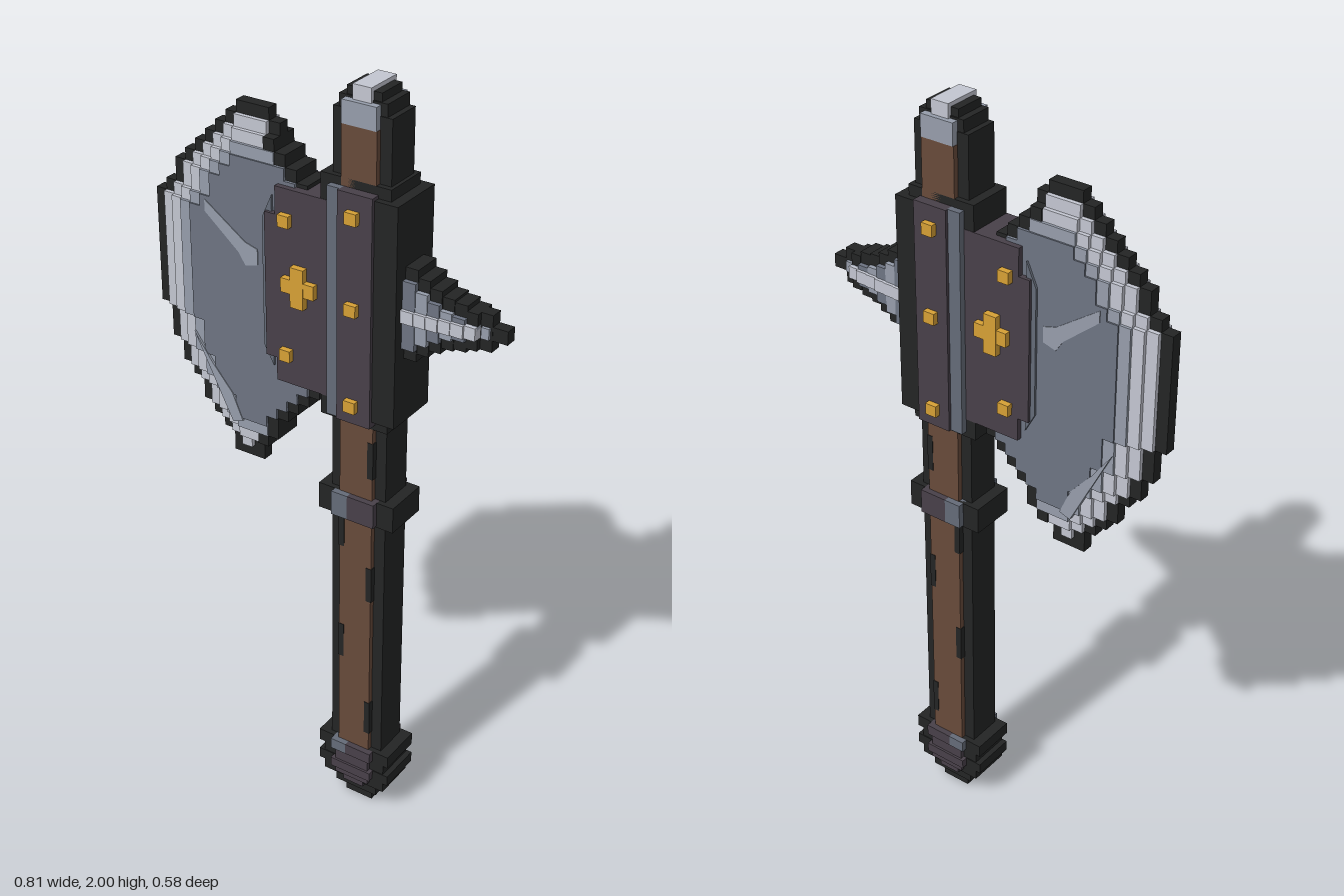
import * as THREE from 'three';

const V = 0.0303; // size of one block step
const mat = (name, color) => {
  const m = new THREE.MeshStandardMaterial({ color });
  m.name = name;
  return m;
};

export function createModel() {
  const black = mat('black outline', 0x232424);
  const brown = mat('brown wood', 0x674a3a);
  const plum = mat('dark plum iron', 0x484049);
  const slate = mat('slate iron', 0x646b78);
  const steel = mat('blade steel', 0x6d7482);
  const light = mat('light steel', 0x969dab);
  const bright = mat('bright steel', 0xc3c6d1);
  const gold = mat('gold', 0xd6a035);

  const model = new THREE.Group();
  const axe = new THREE.Group();
  axe.name = 'axe';
  axe.rotation.y = -THREE.MathUtils.degToRad(35);
  model.add(axe);

  const part = (name, geo, m) => {
    const mesh = new THREE.Mesh(geo, m);
    mesh.name = name;
    axe.add(mesh);
    return mesh;
  };
  // box from its x and y limits, with z from -h to h
  const slab = (name, m, x0, x1, y0, y1, h) =>
    part(name, new THREE.BoxGeometry(x1 - x0, y1 - y0, 2 * h)
      .translate((x0 + x1) / 2, (y0 + y1) / 2, 0), m);
  const plate = (name, m, pts, h) =>
    part(name, new THREE.ExtrudeGeometry(new THREE.Shape(pts.map(p => new THREE.Vector2(...p))),
      { depth: 2 * h, bevelEnabled: false }).translate(0, 0, -h), m);

  // handle: wooden core with dark edges
  const C = 0.12;
  const around = (name, m, a, y0, y1, h) => slab(name, m, C - a, C + a, y0, y1, h);
  around('handleEdge', black, 0.076, 0.1, 1.94, 0.046);
  around('handleWood', brown, 0.046, 0.15, 1.91, 0.06);
  // small dark nicks along the grain
  for (const [y, s] of [[0.3, 1], [0.52, -1], [0.72, 1], [0.86, -1], [1.08, 1]]) {
    slab('woodNick', black, C + s * 0.04 - 0.008, C + s * 0.04 + 0.008, y - 0.05, y + 0.05, 0.061);
  }

  // stepped top cap
  around('capSide', black, 0.062, 1.93, 1.97, 0.044);
  around('capTop', black, 0.045, 1.97, 1.99, 0.04);
  around('capFace', light, 0.045, 1.91, 1.965, 0.062);
  around('capCrown', bright, 0.024, 1.94, 2.0, 0.05);

  // bands and pommel
  for (const [y0, y1] of [[0.9, 0.97], [0.16, 0.195], [0.1, 0.13]]) {
    around('bandEdge', black, 0.106, y0, y1, 0.06);
    slab('bandFace', plum, C - 0.015, C + 0.06, y0 + 0.004, y1, 0.076);
    slab('bandShine', y0 > 0.13 ? slate : plum, C - 0.06, C - 0.015, y0 + 0.004, y1, 0.076);
  }
  around('pommel', black, 0.091, 0.07, 0.165, 0.058);
  around('pommelStep', black, 0.062, 0.035, 0.07, 0.046);
  around('pommelTip', black, 0.04, 0, 0.035, 0.03);
  around('pommelFace', plum, 0.05, 0.085, 0.17, 0.07);
  around('pommelFaceLow', plum, 0.03, 0.06, 0.085, 0.06);

  // blade outline as [y, cutting edge x, inner edge x]
  const profile = [[0.945, -0.245, -0.2], [1.0, -0.29, -0.165], [1.06, -0.34, -0.12], [1.13, -0.39, -0.07],
    [1.2, -0.425, 0.0], [1.27, -0.46, 0.03], [1.35, -0.483, 0.03], [1.57, -0.483, 0.03], [1.65, -0.44, 0.03],
    [1.7, -0.4, 0.0], [1.76, -0.345, -0.06], [1.82, -0.285, -0.12], [1.88, -0.235, -0.16]];
  const snap = v => -0.483 + Math.round((v + 0.483) / V) * V;
  const rows = [];
  for (let i = 0; i < 31; i++) {
    const y = 0.945 + (i + 0.5) * 0.935 / 31;
    const k = profile.findIndex((p, j) => j > 0 && p[0] >= y);
    const [a, b] = [profile[k - 1], profile[k]];
    const t = (y - a[0]) / (b[0] - a[0]);
    rows.push({ y: y - 0.01508, l: snap(a[1] + t * (b[1] - a[1])), r: snap(a[2] + t * (b[2] - a[2])) });
  }
  // shrink the rows by one block; the inner edge only when asked
  const erode = (src, inner) => src.slice(1, -1).map((row, i) => ({
    y: row.y,
    l: Math.max(src[i].l, row.l + V, src[i + 2].l),
    r: inner ? Math.min(src[i].r, row.r - V, src[i + 2].r) : row.r,
  })).filter(q => q.r - q.l > 0.01);
  const stepped = (name, m, src, h) => {
    const H = 0.935 / 31;
    const left = [], right = [];
    for (const q of src) {
      left.push([q.l, q.y], [q.l, q.y + H]);
      right.push([q.r, q.y], [q.r, q.y + H]);
    }
    plate(name, m, [...right, ...left.reverse()], h);
  };
  const rim = erode(rows, true);
  const rim2 = erode(rim, false);
  const shoulder = erode(rim2, false);
  stepped('bladeOutline', black, rows, 0.015);
  stepped('bladeRim', bright, rim, 0.026);
  stepped('bladeRimStep', bright, rim2, 0.036);
  stepped('bladeShoulder', light, shoulder, 0.043);
  stepped('bladeFace', steel, erode(shoulder, false), 0.047);
  // dark inner edge, thicker than the cutting edge
  rows.forEach((q, i) => {
    if (i > 1 && i < 29) slab('bladeInnerEdge', black, q.r - V, q.r, q.y, q.y + 0.0302, 0.04);
  });
  // shine streak and lower glint on both faces
  plate('bladeShine', light, [[-0.315, 1.63], [-0.315, 1.6], [-0.22, 1.52], [-0.2, 1.49], [-0.165, 1.5],
    [-0.165, 1.54], [-0.2, 1.55]], 0.049);
  plate('bladeGlint', light, [[-0.36, 1.27], [-0.25, 1.05], [-0.22, 1.06], [-0.25, 1.13], [-0.31, 1.2]], 0.049);

  // socket holding the blade
  plate('socket', plum, [[-0.135, 1.28], [-0.105, 1.28], [-0.105, 1.22], [0.05, 1.22], [0.05, 1.72], [-0.105, 1.72],
    [-0.105, 1.65], [-0.135, 1.65]], 0.061);
  plate('socketBevel', slate, [[-0.147, 1.3], [-0.12, 1.25], [-0.12, 1.69], [-0.147, 1.63]], 0.053);

  // collar around the handle
  slab('collarCore', black, 0.02, 0.205, 1.17, 1.785, 0.06);
  slab('collarBack', black, 0.165, 0.232, 1.2, 1.757, 0.076);
  slab('collarShine', slate, 0.047, 0.082, 1.185, 1.765, 0.077);
  slab('collarPlate', plum, 0.08, 0.172, 1.185, 1.765, 0.085);

  // gold studs and cross, on both faces
  for (const y of [1.235, 1.485, 1.71]) slab('collarStud', gold, 0.108, 0.139, y - 0.015, y + 0.015, 0.1);
  for (const y of [1.3, 1.645]) slab('socketStud', gold, -0.088, -0.058, y - 0.015, y + 0.015, 0.077);
  slab('crossUpright', gold, -0.054, -0.018, 1.435, 1.537, 0.078);
  slab('crossArm', gold, -0.081, 0.01, 1.468, 1.504, 0.077);

  // rear spike: [x start, x end, half height, half thickness]
  const Y = 1.486;
  const steps = [[0.225, 0.265, 0.115, 0.046], [0.265, 0.295, 0.095, 0.044], [0.295, 0.325, 0.078, 0.042],
    [0.325, 0.355, 0.064, 0.038], [0.355, 0.387, 0.058, 0.036], [0.387, 0.415, 0.046, 0.03],
    [0.415, 0.445, 0.046, 0.016], [0.445, 0.483, 0.017, 0.015]];
  steps.forEach(([x0, x1, h, t], i) => {
    slab('spikeOutline', black, x0, x1, Y - h, Y + h, t - (i < 5 ? 0.008 : 0));
    if (i < 6) slab('spikeFace', i % 2 ? light : steel, x0, x1, Y - h + 0.03, Y + h - 0.03, t + 0.004);
    if (i < 6) slab('spikeRidge', bright, x0, x1, Y - 0.016, Y + 0.016, t + 0.012);
  });
  slab('spikeTipFace', light, 0.42, 0.44, Y - 0.014, Y + 0.014, 0.024);

  return model;
}
